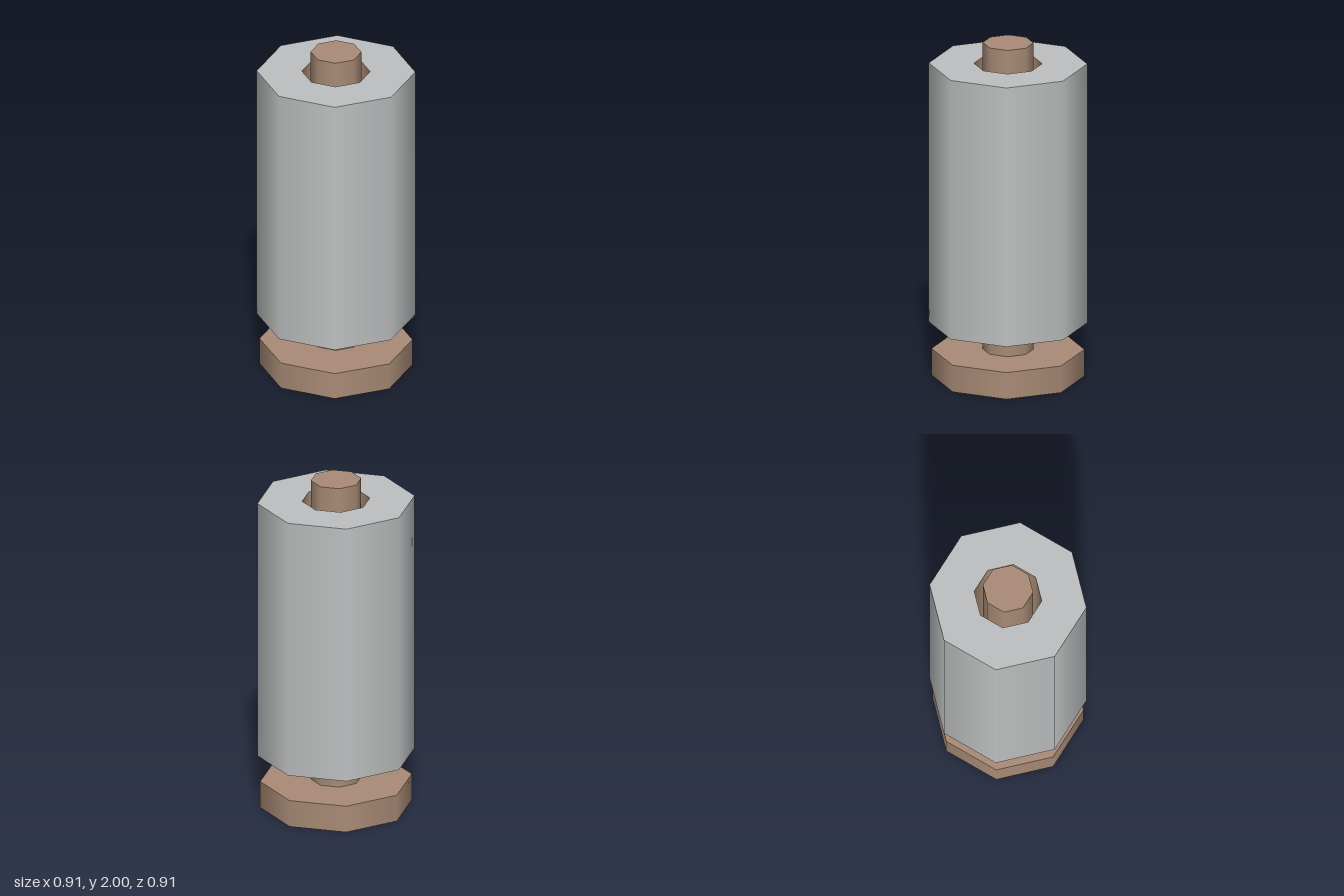
import * as THREE from 'three';

const SIDES = 8;
const wood = new THREE.MeshStandardMaterial({ color: 0xa98b76 });
wood.name = 'wood brown';
const core = wood.clone();
core.name = 'core brown';
core.side = THREE.DoubleSide;
const paper = new THREE.MeshStandardMaterial({ color: 0xbdbfc0 });
paper.name = 'paper grey';

function add(parent, name, geometry, material, y) {
  const mesh = new THREE.Mesh(geometry, material);
  mesh.name = name;
  mesh.position.y = y;
  parent.add(mesh);
  return mesh;
}

// Upright octagonal cylinder between two heights
function cylinder(parent, name, radius, bottom, top, material, open = false) {
  const geometry = new THREE.CylinderGeometry(radius, radius, top - bottom, SIDES, 1, open);
  return add(parent, name, geometry, material, (bottom + top) / 2);
}

export function createModel() {
  const model = new THREE.Group();
  model.name = 'rollHolder';

  // Wooden stand
  cylinder(model, 'base', 0.437, 0, 0.16, wood);
  cylinder(model, 'post', 0.145, 0.16, 2, wood);

  // Hollow roll around the post
  const roll = new THREE.Group();
  roll.name = 'roll';
  model.add(roll);
  const bottom = 0.32, top = 1.875, outer = 0.453, inner = 0.195;
  cylinder(roll, 'rollOuterWall', outer, bottom, top, paper, true);
  cylinder(roll, 'rollCore', inner, bottom, top, core, true);

  // Top face with its opening, closed underside and the floor of the opening
  const topFace = new THREE.RingGeometry(inner, outer, SIDES).rotateX(-Math.PI / 2);
  add(roll, 'rollTop', topFace, paper, top);
  const underside = new THREE.CircleGeometry(outer, SIDES).rotateX(Math.PI / 2);
  add(roll, 'rollUnderside', underside, paper, bottom);
  const floor = new THREE.CircleGeometry(inner, SIDES).rotateX(-Math.PI / 2);
  add(roll, 'rollFloor', floor, paper, bottom + 0.002);

  return model;
}
